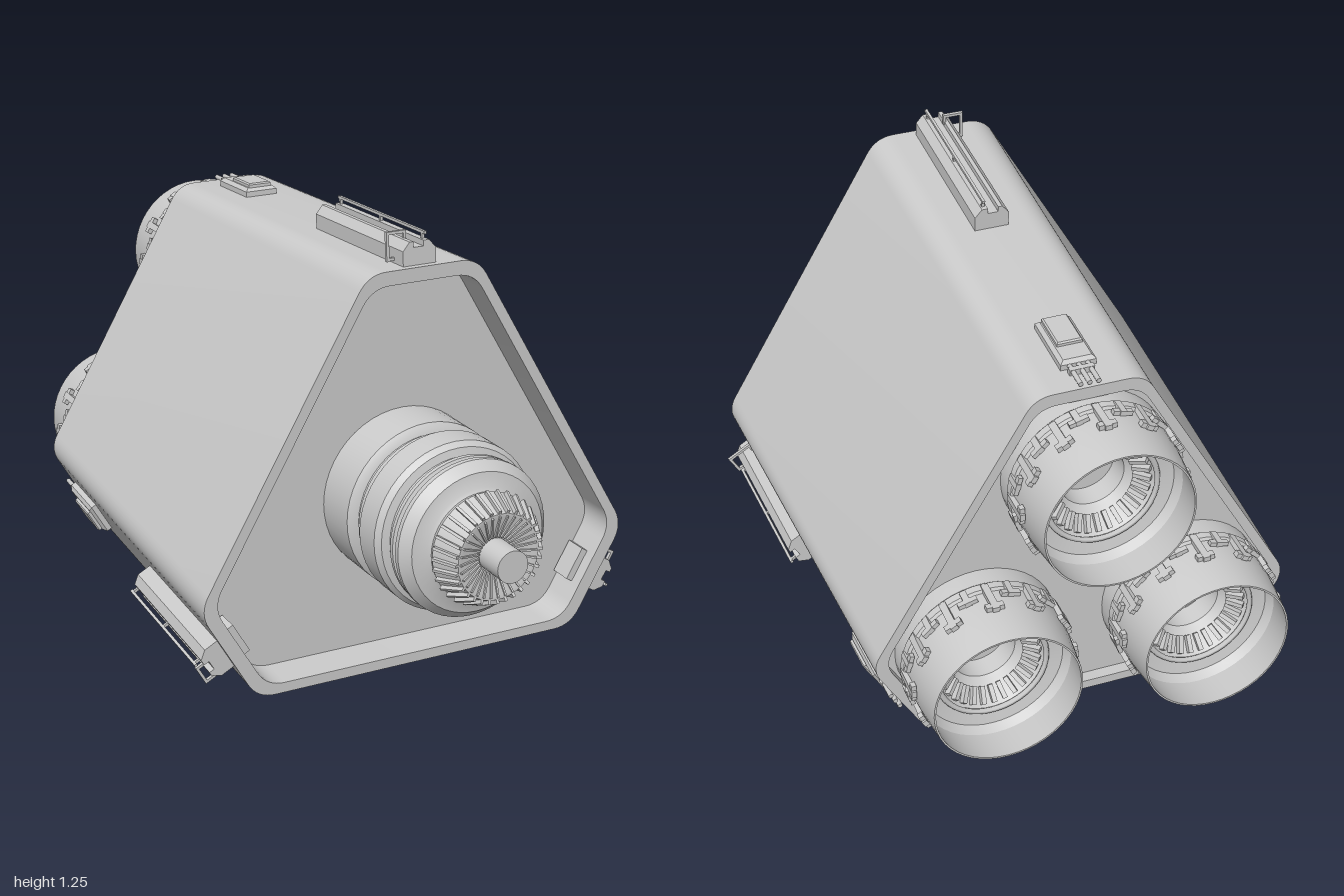
import * as THREE from 'three';
import { mergeGeometries, toCreasedNormals } from 'three/addons/utils/BufferGeometryUtils.js';

const grey = new THREE.MeshStandardMaterial({ color: 0xcccccc, side: THREE.DoubleSide });
const FRONT = 0.51, BACK = -0.77, SLOPE = 0.047;
const CREASE = 0.5;

function mesh(name, geometry, x = 0, y = 0, z = 0) {
  const m = new THREE.Mesh(geometry, grey);
  m.name = name;
  m.position.set(x, y, z);
  return m;
}

const box = (w, h, d, x = 0, y = 0, z = 0) => new THREE.BoxGeometry(w, h, d).translate(x, y, z);

// Lathe about the z axis; profile is [radius, distance], dir = 1 forward, -1 rearward
function turned(profile, dir, segments = 48) {
  const pts = profile.map(([r, d]) => new THREE.Vector2(r, d));
  return toCreasedNormals(new THREE.LatheGeometry(pts, segments).rotateX(dir * Math.PI / 2), CREASE);
}

// Copies of a geometry evenly spaced around the z axis
function ring(geometry, count, offset = 0) {
  const parts = [];
  for (let i = 0; i < count; i++) parts.push(geometry.clone().rotateZ((i + offset) / count * Math.PI * 2));
  return mergeGeometries(parts);
}

// Triangle with clipped, rounded corners: a = distance to the short faces, b = to the long ones
function hullOutline(PathType, a, b, round) {
  const half = (b - a / 2) / Math.cos(Math.PI / 6);
  const corners = [];
  for (let i = 0; i < 3; i++) {
    for (const x of [half, -half]) {
      corners.push(new THREE.Vector2(x, a).rotateAround(new THREE.Vector2(), i * Math.PI * 2 / 3));
    }
  }
  const path = new PathType();
  corners.forEach((c, i) => {
    const toward = (o) => c.clone().add(o.clone().sub(c).setLength(round));
    const p = toward(corners[(i + 5) % 6]), q = toward(corners[(i + 1) % 6]);
    if (i === 0) path.moveTo(p.x, p.y); else path.lineTo(p.x, p.y);
    path.quadraticCurveTo(c.x, c.y, q.x, q.y);
  });
  path.closePath();
  return path;
}

const taper = (z) => 1 - (FRONT - z) * 0.072;

function hull() {
  const g = new THREE.Group();
  g.name = 'hull';
  const shape = hullOutline(THREE.Shape, 0.68, 0.485, 0.055);
  shape.holes.push(hullOutline(THREE.Path, 0.64, 0.455, 0.055));
  const geo = new THREE.ExtrudeGeometry(shape, { depth: FRONT - BACK, bevelEnabled: false, curveSegments: 8 });
  geo.translate(0, 0, BACK);
  // Narrow the shell toward the rear
  const p = geo.attributes.position;
  for (let i = 0; i < p.count; i++) {
    const s = taper(p.getZ(i));
    p.setXY(i, p.getX(i) * s, p.getY(i) * s);
  }
  g.add(mesh('shell', toCreasedNormals(geo, CREASE)));
  // Sunken end plates
  for (const [name, z] of [['frontBulkhead', 0.4], ['rearBulkhead', -0.735]]) {
    const s = taper(z);
    const plate = new THREE.ShapeGeometry(hullOutline(THREE.Shape, 0.645 * s, 0.46 * s, 0.055), 8);
    if (z < 0) plate.rotateY(Math.PI);
    g.add(mesh(name, plate, 0, 0, z));
  }
  return g;
}

// Ribbed docking probe on the front
function dockingProbe() {
  const g = new THREE.Group();
  g.name = 'dockingProbe';
  g.add(mesh('ribbedBody', turned([
    [0.245, 0.39], [0.245, 0.54], [0.232, 0.55], [0.218, 0.555], [0.218, 0.57], [0.228, 0.575], [0.228, 0.595],
    [0.245, 0.612], [0.245, 0.695], [0.232, 0.712], [0.21, 0.718], [0.21, 0.735], [0.222, 0.742], [0.222, 0.755],
    [0.21, 0.76], [0.21, 0.768], [0.225, 0.775], [0.225, 0.79], [0.2, 0.82], [0.16, 0.828], [0.15, 0.835],
  ], 1)));
  g.add(mesh('probeHead', turned([
    [0.148, 0.83], [0.155, 0.85], [0.148, 0.87], [0.122, 0.928], [0.112, 0.928], [0.05, 0.905], [0.0, 0.905],
  ], 1)));
  const petal = box(0.008, 0.018, 0.078).rotateX(0.42).translate(0, 0.14, 0.893);
  g.add(mesh('headPetals', ring(petal, 32)));
  const spoke = box(0.005, 0.07, 0.008).rotateX(0.33).translate(0, 0.083, 0.919);
  g.add(mesh('headSpokes', ring(spoke, 32)));
  g.add(mesh('probeTip', turned([[0.046, 0.89], [0.046, 1.0], [0, 1.0]], 1, 24)));
  return g;
}

// Open engine bell with outer clamps and an inner toothed ring
function engine() {
  const g = new THREE.Group();
  g.name = 'engine';
  g.add(mesh('bell', turned([
    [0.232, 0.72], [0.232, 0.79], [0.236, 0.795], [0.234, 0.815], [0.226, 0.82], [0.222, 0.9], [0.21, 1.0],
    [0.205, 1.0], [0.214, 0.9], [0.2, 0.875], [0.155, 0.865], [0.145, 0.85], [0.1, 0.81], [0.09, 0.8],
    [0.085, 0.74], [0, 0.74],
  ], -1)));
  const clamp = mergeGeometries([
    box(0.02, 0.014, 0.1, 0, 0.231, -0.85),
    box(0.05, 0.014, 0.018, 0, 0.23, -0.885),
  ]);
  g.add(mesh('longClamps', ring(clamp, 12)));
  const shortClamp = mergeGeometries([
    box(0.018, 0.014, 0.05, 0, 0.233, -0.825),
    box(0.055, 0.012, 0.016, 0, 0.232, -0.84),
  ]);
  g.add(mesh('shortClamps', ring(shortClamp, 12, 0.5)));
  const tooth = box(0.013, 0.05, 0.022).rotateX(-0.73).translate(0, 0.125, -0.84);
  g.add(mesh('innerTeeth', ring(tooth, 28)));
  g.add(mesh('innerRing', new THREE.TorusGeometry(0.155, 0.008, 6, 40), 0, 0, -0.87));
  return g;
}

// Grooved rail with a thin rod and a bent handle
function rail() {
  const g = new THREE.Group();
  g.name = 'rail';
  const shape = new THREE.Shape([
    [-0.05, -0.015], [0.05, -0.015], [0.05, 0.042], [0.03, 0.066], [0.012, 0.066], [0.012, 0.05],
    [-0.018, 0.05], [-0.018, 0.066], [-0.03, 0.066], [-0.05, 0.042],
  ].map(([x, y]) => new THREE.Vector2(x, y)));
  g.add(mesh('railBody', new THREE.ExtrudeGeometry(shape, { depth: 0.515, bevelEnabled: false }), 0, 0, -0.2575));
  g.add(mesh('rod', mergeGeometries([
    box(0.008, 0.008, 0.5, 0.022, 0.084, 0),
    box(0.008, 0.025, 0.008, 0.022, 0.073, 0.235),
    box(0.008, 0.025, 0.008, 0.022, 0.073, 0),
    box(0.008, 0.025, 0.008, 0.022, 0.073, -0.24),
  ])));
  g.add(mesh('handle', mergeGeometries([
    box(0.008, 0.08, 0.01, -0.07, 0.046, 0.205),
    box(0.06, 0.008, 0.01, -0.044, 0.084, 0.205),
    box(0.008, 0.03, 0.01, -0.018, 0.072, 0.205),
    box(0.025, 0.008, 0.01, -0.06, 0.012, 0.205),
  ])));
  return g;
}

// Small chamfered equipment box with cables running to the rear edge
function equipmentBox() {
  const g = new THREE.Group();
  g.name = 'equipmentBox';
  const rect = (w, d) => new THREE.Shape([[-w, -d], [w, -d], [w, d], [-w, d]].map(([x, y]) => new THREE.Vector2(x, y)));
  const slab = (w, d, h, bevel) => new THREE.ExtrudeGeometry(rect(w - bevel, d - bevel), {
    depth: h, bevelSize: bevel, bevelThickness: bevel, bevelSegments: 1,
  }).rotateX(-Math.PI / 2);
  g.add(mesh('case', slab(0.05, 0.095, 0.02, 0.01), 0, -0.004, 0));
  g.add(mesh('lid', slab(0.036, 0.058, 0.01, 0.004), 0, 0.024, 0.028));
  g.add(mesh('cables', mergeGeometries([-0.025, 0, 0.025].map((x) =>
    new THREE.CylinderGeometry(0.007, 0.007, 0.09, 8).rotateX(Math.PI / 2).translate(x, 0.01, -0.13)))));
  g.add(mesh('cableClip', box(0.07, 0.018, 0.015, 0, 0.008, -0.115)));
  return g;
}

export function createModel() {
  const model = new THREE.Group();
  model.name = 'spacecraftModule';
  const body = new THREE.Group();
  body.name = 'body';
  body.position.set(-0.012, 0.49, 0);
  model.add(body);
  body.add(hull(), dockingProbe());

  // Each clipped corner carries an engine, a rail and an equipment box
  const surface = (z) => 0.68 * taper(z);
  for (let i = 0; i < 3; i++) {
    const corner = new THREE.Group();
    corner.name = ['topCorner', 'leftCorner', 'rightCorner'][i];
    corner.rotation.z = -i * Math.PI * 2 / 3;
    const e = engine(), r = rail(), b = equipmentBox();
    e.position.y = 0.348;
    r.position.set(0, surface(0.23), 0.23);
    b.position.set(0, surface(-0.59), -0.59);
    r.rotation.x = b.rotation.x = -SLOPE;
    corner.add(e, r, b);
    if (i > 0) corner.add(mesh('innerBracket', box(0.1, 0.025, 0.07, 0, 0.63, 0.44)));
    body.add(corner);
  }
  return model;
}
